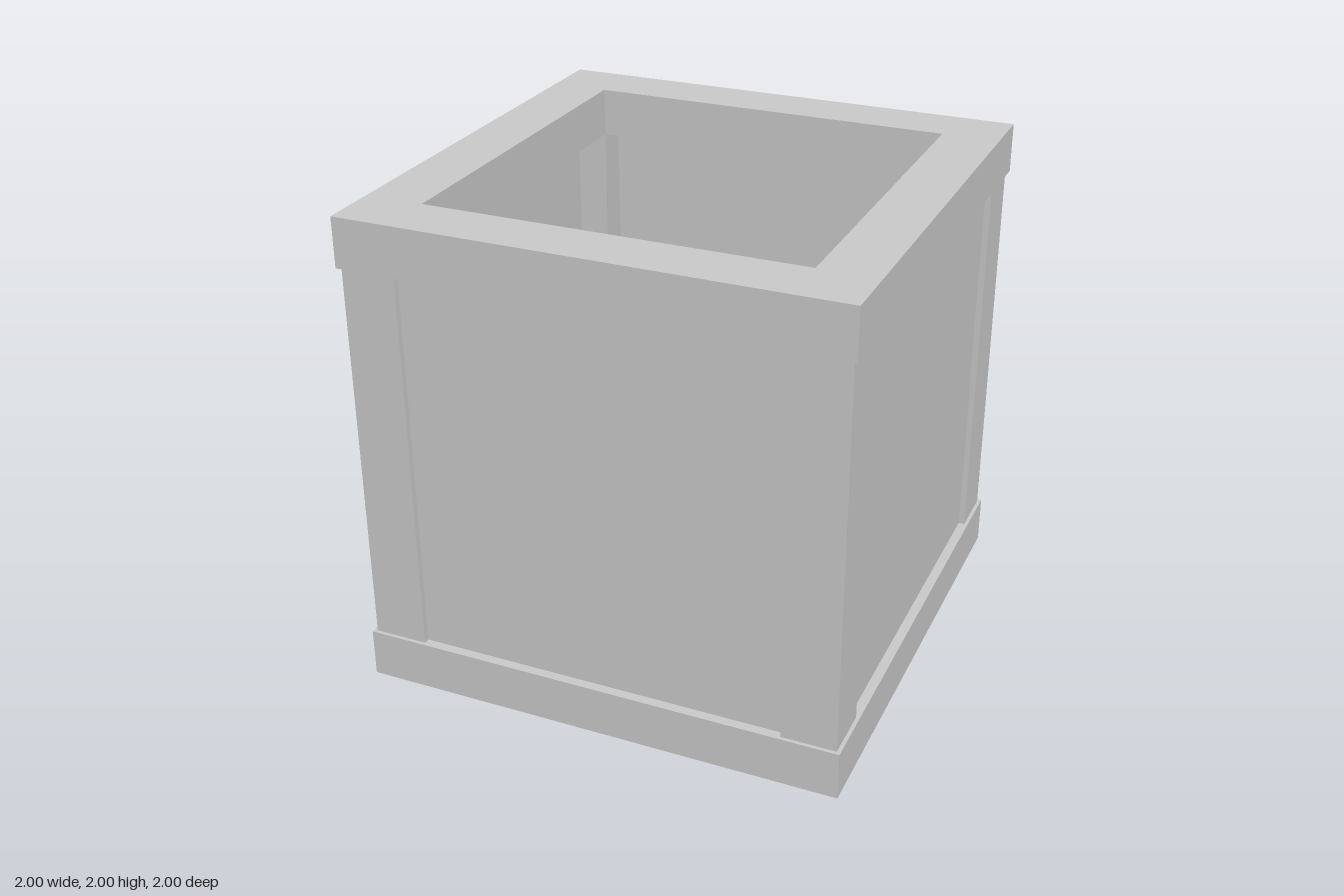
import * as THREE from 'three';

const material = new THREE.MeshStandardMaterial({ color: 0xcccccc, flatShading: true });

export function createModel() {
  const group = new THREE.Group();
  const add = (name, geometry, x = 0, y = 0, z = 0, turn = 0) => {
    const mesh = new THREE.Mesh(geometry, material);
    mesh.name = name;
    mesh.position.set(x, y, z);
    mesh.rotation.y = turn;
    group.add(mesh);
  };

  const inner = 0.763, postOuter = 0.985, rail = 0.202;

  // Square rims with an open middle, at the bottom and the top
  const square = (r, Type) => new Type(
    [[-r, -r], [r, -r], [r, r], [-r, r]].map(([x, y]) => new THREE.Vector2(x, y)));
  const outline = square(1, THREE.Shape);
  outline.holes.push(square(inner, THREE.Path));
  const rim = new THREE.ExtrudeGeometry(outline, { depth: rail, bevelEnabled: false });
  rim.rotateX(-Math.PI / 2);
  add('bottomRim', rim);
  add('topRim', rim, 0, 2 - rail, 0);

  // Corner posts between the rims
  const postWidth = postOuter - inner, wallHeight = 2 - 2 * rail;
  const post = new THREE.BoxGeometry(postWidth, wallHeight, postWidth);
  const postAt = (postOuter + inner) / 2;
  for (const sx of [-1, 1])
    for (const sz of [-1, 1]) add('cornerPost', post, sx * postAt, 1, sz * postAt);

  // Recessed side panels
  const panelIn = 0.895, panelOut = 0.96;
  const panel = new THREE.BoxGeometry(2 * inner, wallHeight, panelOut - panelIn);
  const panelAt = (panelIn + panelOut) / 2;
  for (let i = 0; i < 4; i++) {
    const a = i * Math.PI / 2;
    add('sidePanel', panel, Math.sin(a) * panelAt, 1, Math.cos(a) * panelAt, a);
  }

  // Floor set slightly above the underside
  add('floor', new THREE.BoxGeometry(2 * inner, 0.065, 2 * inner), 0, 0.07, 0);

  return group;
}
